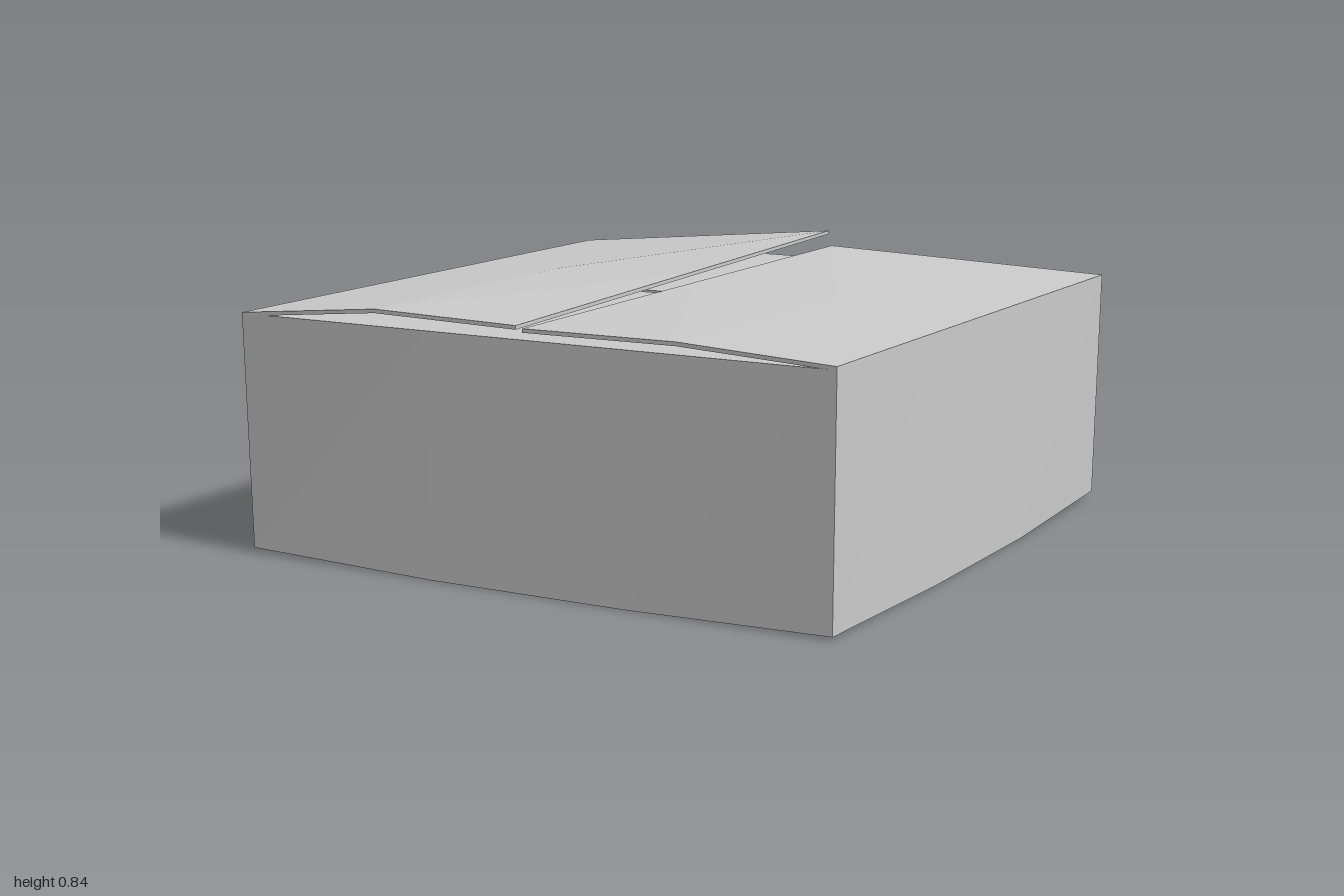
import * as THREE from 'three';

const H = 0.745; // wall height
const T = 0.012; // board thickness

// 0 over the middle third of a side, rising to 1 at the corners
const toCorner = (t) => Math.min(1, Math.max(0, (Math.abs(t) - 1 / 3) * 1.5));
const lerp = THREE.MathUtils.lerp;

// A thin board: a segmented box whose corners are moved by a rule
function board(name, size, segments, centre, rule) {
  const geometry = new THREE.BoxGeometry(...size, ...segments);
  geometry.translate(...centre);
  const pos = geometry.attributes.position;
  const p = new THREE.Vector3();
  for (let i = 0; i < pos.count; i++) {
    rule(p.fromBufferAttribute(pos, i));
    pos.setXYZ(i, p.x, p.y, p.z);
  }
  geometry.computeVertexNormals();
  const material = new THREE.MeshStandardMaterial({ color: 0xcccccc, flatShading: true, side: THREE.DoubleSide });
  const mesh = new THREE.Mesh(geometry, material);
  mesh.name = name;
  return mesh;
}

// Sagging carton: lower corners are lifted and drawn in a little
function sag(p) {
  const { x, y, z } = p;
  const low = 1 - y / H;
  const corner = toCorner(x) * toCorner(z);
  const lift = x > 0 && z < 0 ? 0.02 : x < 0 && z > 0 ? 0.015 : 0.01;
  p.y += lift * corner * low;
  p.x *= 1 - 0.01 * corner * low;
  p.z *= 1 - 0.01 * corner * low;
}

// Top flap on one side; heights run hinge, middle, free edge
function topFlap(name, side, freeX, front, back, inset) {
  const rule = (p) => {
    const u = Math.round((p.x + 0.5) * 2); // 0 hinge, 2 free edge
    const depth = (p.z + 1) / 2;
    p.x = lerp(side, freeX, u / 2);
    p.y = lerp(back[u], front[u], depth) + (p.y > 0 ? 0 : -T);
    if (depth === 1 && u > 0) p.z -= inset;
  };
  const flap = board(name, [1, T, 2], [2, 1, 2], [0, 0, 0], rule);
  // the left side mirrors the hinge direction, so its faces are turned round
  if (side > 0) {
    const index = flap.geometry.index.array;
    for (let i = 0; i < index.length; i += 3) {
      [index[i], index[i + 1]] = [index[i + 1], index[i]];
    }
    flap.geometry.computeVertexNormals();
  }
  return flap;
}

export function createModel() {
  const model = new THREE.Group();
  model.name = 'cardboardBox';

  // Base and four walls
  model.add(board('base', [2 - 2 * T, T, 2 - 2 * T], [3, 1, 3], [0, T / 2, 0], sag));
  for (const s of [1, -1]) {
    const c = s * (1 - T / 2);
    model.add(board(s > 0 ? 'frontWall' : 'backWall', [2, H, T], [3, 1, 1], [0, H / 2, c], sag));
    model.add(board(s > 0 ? 'leftWall' : 'rightWall', [T, H, 2 - 2 * T], [1, 1, 3], [c, H / 2, 0], sag));

    // Inner flaps folded flat under the top ones
    model.add(board(s > 0 ? 'frontInnerFlap' : 'backInnerFlap', [1.97, T, 0.97], [1, 1, 1],
      [0, H - T / 2, s * 0.503], () => {}));
  }

  // Top flaps: one lifts at its back corner, the other lies lower
  model.add(topFlap('rightTopFlap', -1, -0.012, [0.748, 0.795, 0.785], [0.748, 0.795, 0.842], 0));
  model.add(topFlap('leftTopFlap', 1, 0, [0.755, 0.778, 0.775], [0.755, 0.773, 0.79], 0.015));
  return model;
}
